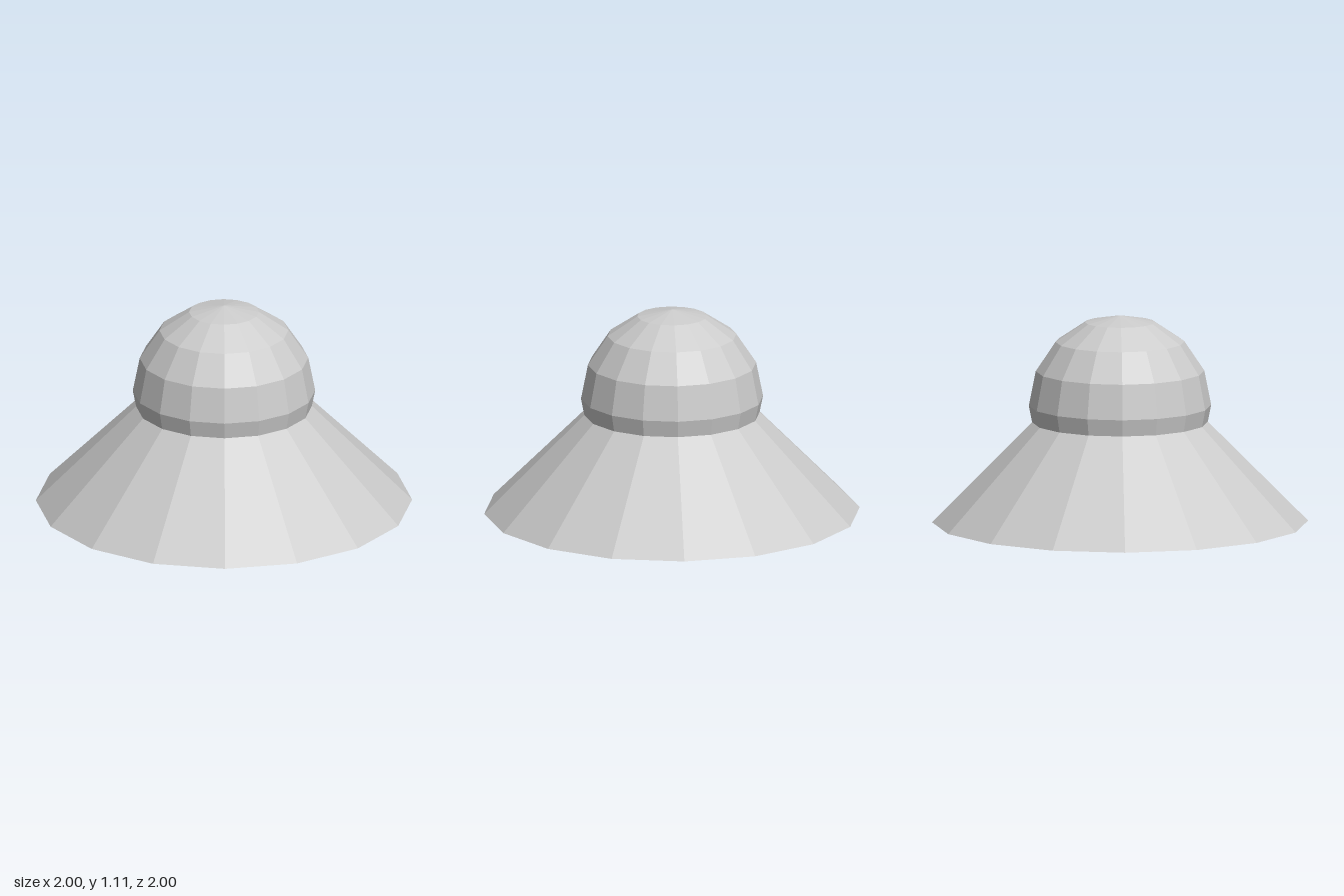
import * as THREE from 'three';

const SIDES = 16;
const CROWN_RADIUS = 0.485;
const CROWN_CENTER = 0.626;
const SEAM = [0.467, 0.536]; // radius and height where brim meets crown

export function createModel() {
  const group = new THREE.Group();
  group.name = 'hat';
  const material = new THREE.MeshStandardMaterial({
    color: 0xcccccc, flatShading: true, side: THREE.DoubleSide,
  });

  const addLathe = (name, profile) => {
    const points = profile.map(([r, y]) => new THREE.Vector2(r, y));
    const mesh = new THREE.Mesh(new THREE.LatheGeometry(points, SIDES), material);
    mesh.name = name;
    group.add(mesh);
  };

  // Flared brim, a thin open cone
  addLathe('brim', [[1, 0], SEAM]);

  // Faceted dome, open at the bottom and tucked in to the seam
  const crown = [SEAM];
  for (let i = 0; i <= 4; i++) {
    const a = (i / 4) * Math.PI / 2;
    crown.push([i === 4 ? 0 : CROWN_RADIUS * Math.cos(a), CROWN_CENTER + CROWN_RADIUS * Math.sin(a)]);
  }
  addLathe('crown', crown);

  return group;
}
